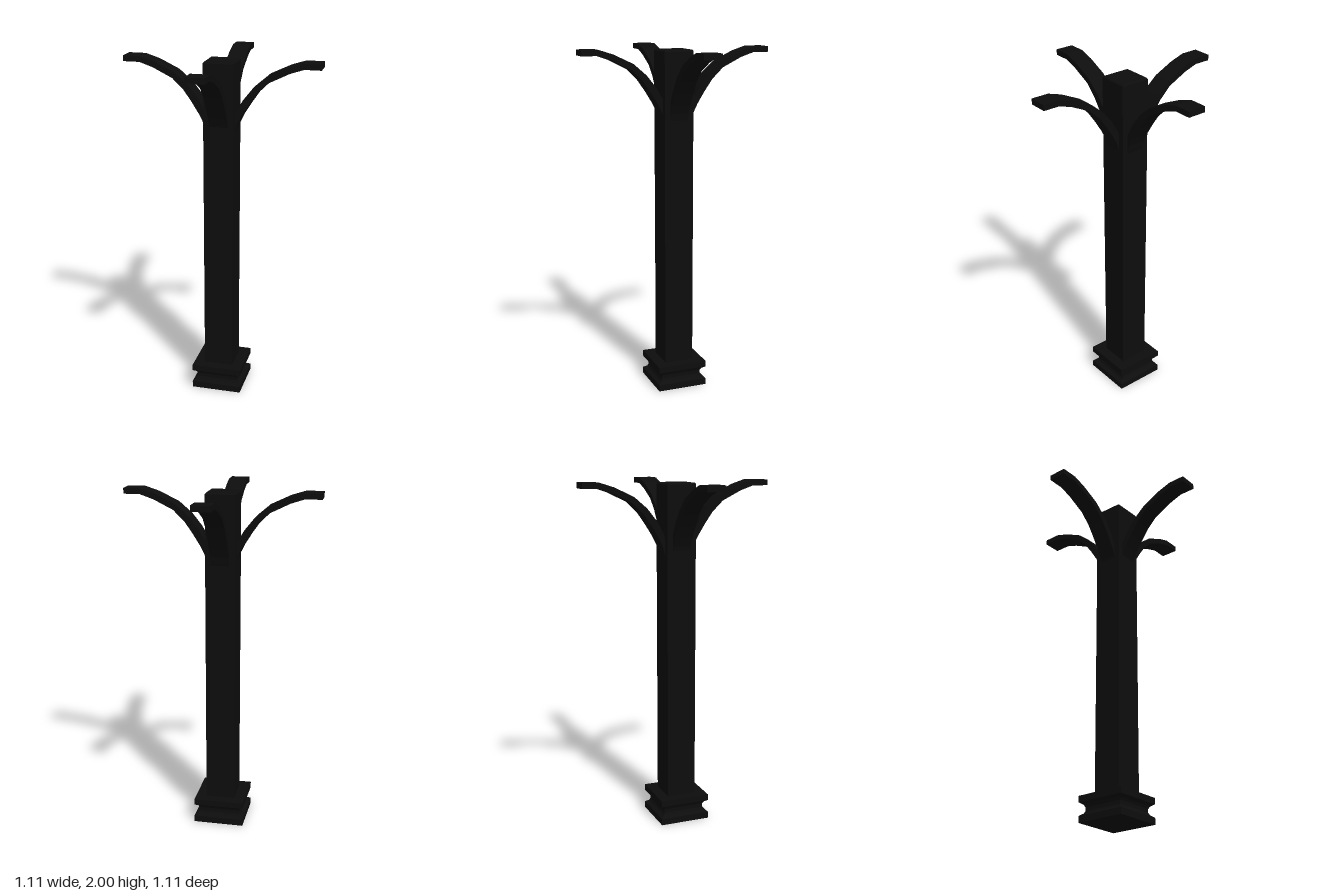
import * as THREE from 'three';

const material = new THREE.MeshStandardMaterial({ color: 0x0d0d0d, flatShading: true });

// Square block turned from a profile of [half width, height], closed top and bottom
function squareTurned(name, profile) {
  const points = profile.map(([half, y]) => new THREE.Vector2(half * Math.SQRT2, y));
  const geometry = new THREE.LatheGeometry(points, 4);
  geometry.rotateY(Math.PI / 4);
  const mesh = new THREE.Mesh(geometry, material);
  mesh.name = name;
  return mesh;
}

// Curved bracket: lower edge outwards, then upper edge back to the post
function bracketGeometry() {
  const lower = [[0.07, 1.56], [0.084, 1.6], [0.094, 1.64], [0.119, 1.69], [0.161, 1.757],
    [0.209, 1.825], [0.273, 1.887], [0.385, 1.942], [0.463, 1.968], [0.557, 1.968]];
  const upper = [[0.557, 2], [0.458, 2], [0.376, 1.974], [0.262, 1.92], [0.186, 1.855],
    [0.13, 1.785], [0.09, 1.715], [0.07, 1.65]];
  const shape = new THREE.Shape([...lower, ...upper].map(([x, y]) => new THREE.Vector2(x, y)));
  const width = 0.106;
  return new THREE.ExtrudeGeometry(shape, { depth: width, bevelEnabled: false })
    .translate(0, 0, -width / 2);
}

export function createModel() {
  const model = new THREE.Group();
  model.name = 'column';

  // Stepped plinth with a recessed waist
  const base = squareTurned('base', [[0, 0], [0.148, 0], [0.148, 0.038], [0.128, 0.052],
    [0.121, 0.066], [0.121, 0.086], [0.128, 0.1], [0.148, 0.114], [0.148, 0.15], [0, 0.15]]);
  base.position.set(-0.003, 0, 0.006);

  // Square post with a small chamfer on top
  const post = squareTurned('post', [[0, 0.14], [0.086, 0.14], [0.086, 1.984], [0.08, 1.992], [0, 1.992]]);
  post.position.set(-0.003, 0, 0.006);
  model.add(base, post);

  // Four brackets spreading from the top of the post
  const geometry = bracketGeometry();
  ['leftBracket', 'backBracket', 'rightBracket', 'frontBracket'].forEach((name, i) => {
    const bracket = new THREE.Mesh(geometry, material);
    bracket.name = name;
    bracket.rotation.y = i * Math.PI / 2;
    bracket.position.set(-0.001, 0, i % 2 ? 0 : 0.006);
    model.add(bracket);
  });
  return model;
}
